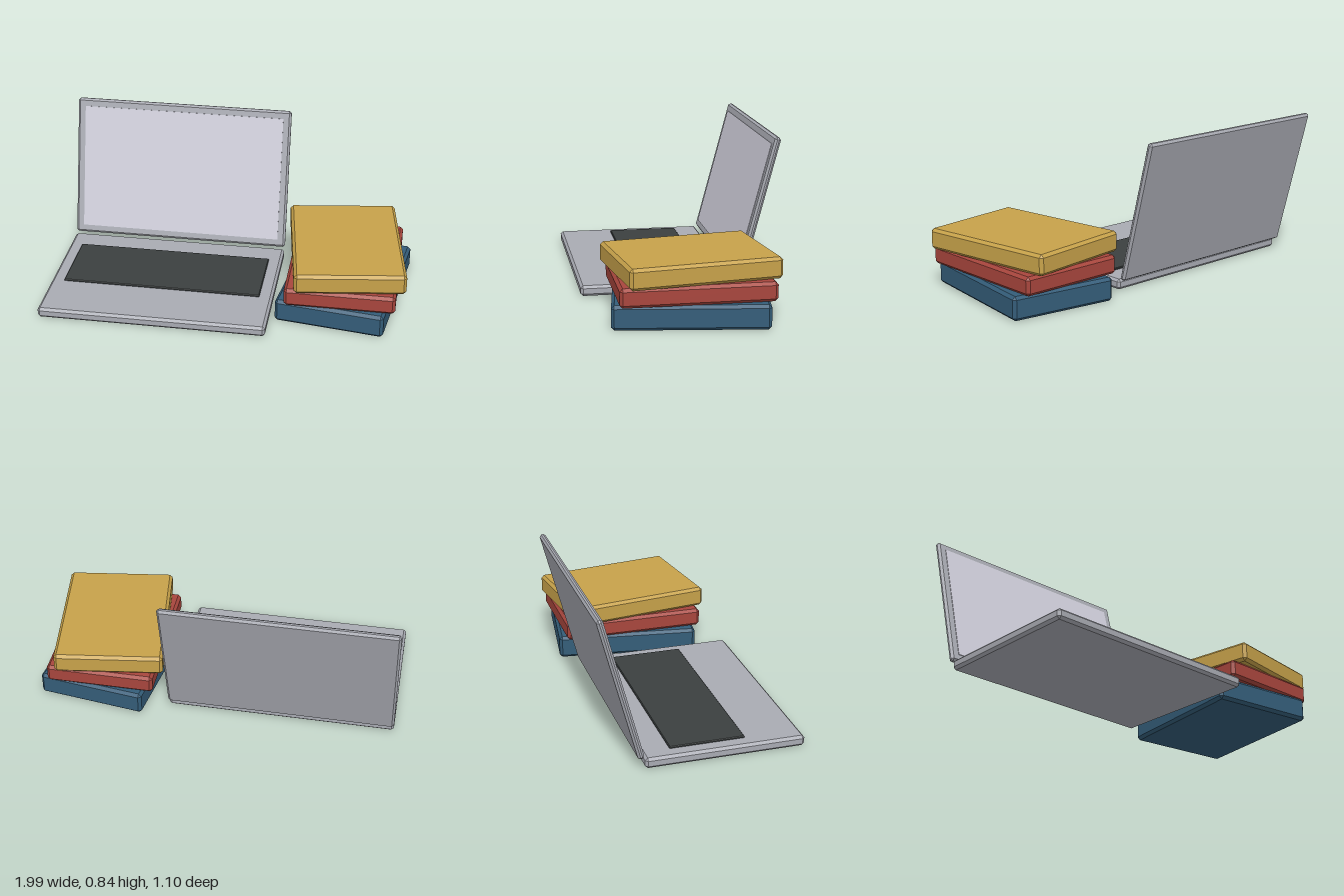
import * as THREE from 'three';
import { ConvexGeometry } from 'three/addons/geometries/ConvexGeometry.js';

const mat = (name, color) => {
  const m = new THREE.MeshStandardMaterial({ color });
  m.name = name;
  return m;
};

// Box with every edge chamfered by b, centred on its own origin
function chamferBox(w, h, d, b) {
  const points = [];
  for (const sx of [-1, 1]) for (const sy of [-1, 1]) for (const sz of [-1, 1]) {
    const x = w / 2, y = h / 2, z = d / 2;
    points.push(
      new THREE.Vector3(sx * x, sy * (y - b), sz * (z - b)),
      new THREE.Vector3(sx * (x - b), sy * y, sz * (z - b)),
      new THREE.Vector3(sx * (x - b), sy * (y - b), sz * z));
  }
  return new ConvexGeometry(points);
}

function addPart(parent, name, geometry, material, x, y, z) {
  const mesh = new THREE.Mesh(geometry, material);
  mesh.name = name;
  mesh.position.set(x, y, z);
  parent.add(mesh);
  return mesh;
}

export function createModel() {
  const model = new THREE.Group();
  model.name = 'laptopAndBooks';
  const silver = mat('silver', 0xa9abb3);
  const screen = mat('screen', 0xd0cfdb);
  const keys = mat('charcoal', 0x3b4040);

  // Laptop base and keyboard
  const laptop = new THREE.Group();
  laptop.name = 'laptop';
  laptop.position.x = -0.37;
  model.add(laptop);
  addPart(laptop, 'base', chamferBox(1.26, 0.058, 0.86, 0.014), silver, 0, 0.029, 0.118);
  addPart(laptop, 'keyboard', chamferBox(1.114, 0.016, 0.406, 0.004), keys, 0, 0.06, 0.038);

  // Lid leaning back, with the display on its front
  const lid = new THREE.Group();
  lid.name = 'lid';
  lid.position.set(0, 0.45, -0.435);
  lid.rotation.x = -0.262;
  laptop.add(lid);
  addPart(lid, 'lidShell', chamferBox(1.26, 0.81, 0.034, 0.012), silver, 0, 0, 0);
  addPart(lid, 'display', new THREE.BoxGeometry(1.17, 0.72, 0.006), screen, 0, 0, 0.017);

  // Stack of books, each turned a little
  const books = new THREE.Group();
  books.name = 'books';
  books.position.set(0.642, 0, 0.019);
  model.add(books);
  const stack = [
    ['bottomBook', mat('blue', 0x345d79), 0, 0.13, -0.14],
    ['middleBook', mat('red', 0xa8463d), 0.13, 0.232, 0],
    ['topBook', mat('ochre', 0xc7a24a), 0.232, 0.345, 0.14],
  ];
  for (const [name, material, y0, y1, turn] of stack) {
    const book = addPart(books, name, chamferBox(0.602, y1 - y0, 0.806, 0.016), material, 0, (y0 + y1) / 2, 0);
    book.rotation.y = turn;
  }
  return model;
}
